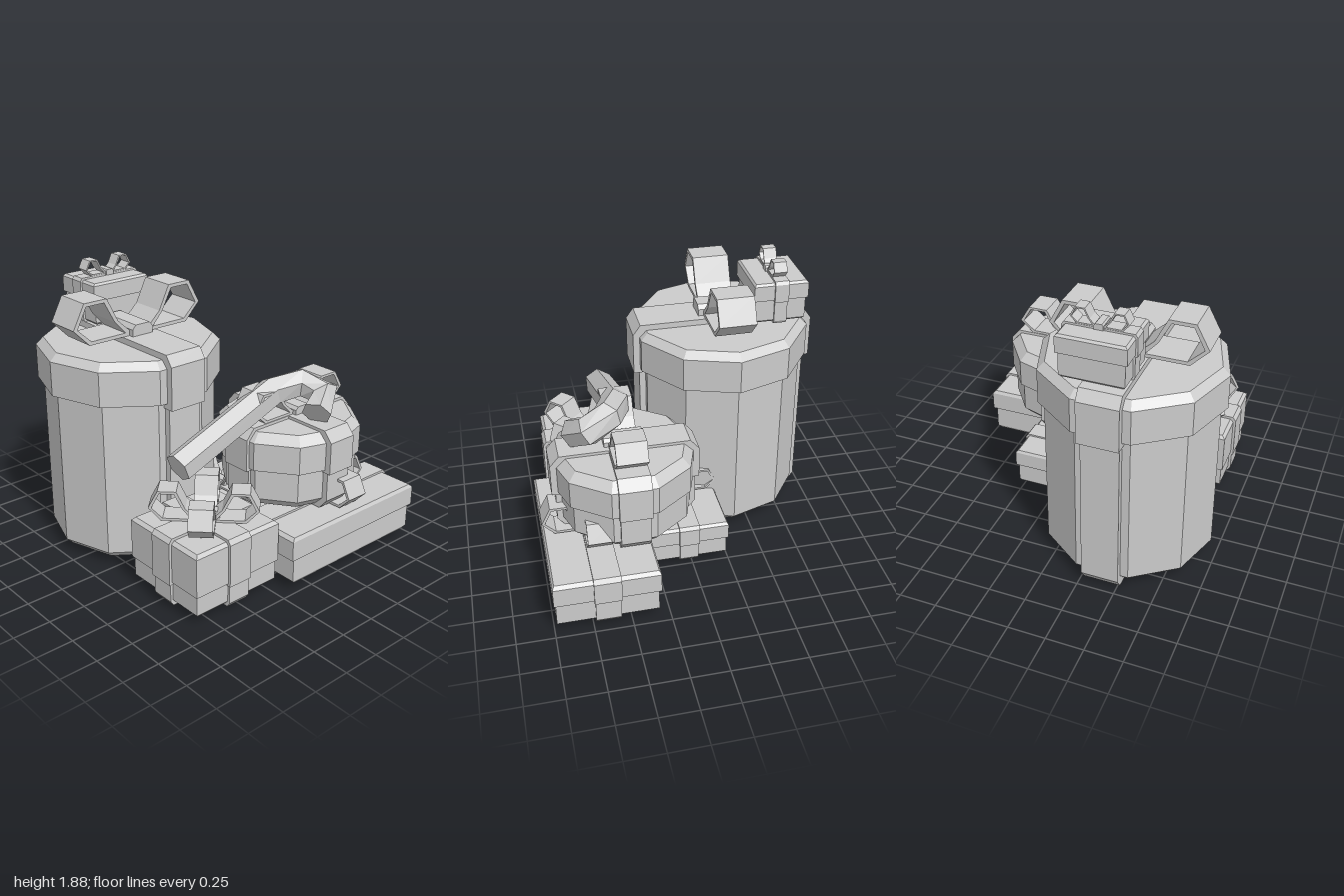
import * as THREE from 'three';

const grey = new THREE.MeshStandardMaterial({ color: 0xcccccc, flatShading: true });

function add(parent, name, geo) {
  const mesh = new THREE.Mesh(geo, grey);
  mesh.name = name;
  parent.add(mesh);
  return mesh;
}

const toVectors = (pts) => pts.map(([x, y]) => new THREE.Vector2(x, y));

// Flat outline extruded along z and centred on it
function slab(outline, width, hole) {
  const shape = new THREE.Shape(toVectors(outline));
  if (hole) shape.holes.push(new THREE.Path(toVectors(hole)));
  return new THREE.ExtrudeGeometry(shape, { depth: width, bevelEnabled: false }).translate(0, 0, -width / 2);
}

// Faceted solid from a half profile [radius, y]; four sides gives a box
function prism(profile, sides, phase, hx, hz) {
  const k = sides === 4 ? Math.SQRT2 : 1;
  return new THREE.LatheGeometry(toVectors(profile), sides, phase).scale(hx * k, 1, hz * k);
}

// Symmetric outline for a ribbon: half profile plus its mirror image
function mirrored(half) {
  return [...half, ...half.map(([x, y]) => [-x, y]).reverse()];
}

// Loops of ribbon fanned around a knot
const LOOP = [[0.08, 0], [0.77, 0], [1, 0.25], [0.83, 0.59], [0.49, 0.59], [0.33, 0.25]];
const LOOP_HOLE = [[0.22, 0.05], [0.74, 0.05], [0.94, 0.25], [0.8, 0.54], [0.53, 0.54], [0.38, 0.24]];
function bow({ reach, height, width, loops, turn = 0 }) {
  const group = new THREE.Group();
  group.name = 'bow';
  const fit = (pts) => pts.map(([x, y]) => [x * reach, y * height / 0.59]);
  for (let i = 0; i < loops; i++) {
    const loop = add(group, 'bowLoop', slab(fit(LOOP), width, fit(LOOP_HOLE)));
    loop.rotation.y = turn + i * 2 * Math.PI / loops;
  }
  const k = width * 0.32, h = height * 0.27;
  const knot = add(group, 'bowKnot',
    slab([[-k, -0.01], [k, -0.01], [k, h * 0.6], [k * 0.7, h], [-k * 0.7, h], [-k, h * 0.6]], width * 1.3));
  knot.rotation.y = turn;
  return group;
}

// Lidded present with ribbons along the listed axes and a bow on top
function gift(o) {
  const { y0, seam, top, bevel: b, lip, wrap } = o;
  const group = new THREE.Group();
  group.name = o.name;
  group.position.set(o.x, 0, o.z);
  const sides = o.sides ?? 4, phase = o.phase ?? Math.PI / 4;
  const f = b / o.hx, inner = 1 - lip / o.hx;
  add(group, 'giftBody', prism([[0, y0], [inner - f, y0], [inner, y0 + b], [inner, seam + 0.01]],
    sides, phase, o.hx, o.hz));
  add(group, 'giftLid', prism([[0, seam], [1, seam], [1, top - b], [1 - f, top], [0, top]],
    sides, phase, o.hx, o.hz));
  for (const [axis, half] of Object.entries(o.ribbons)) {
    const r = half + wrap, rb = r - lip;
    const lidBand = mirrored([[r, seam - wrap], [r, top - b + wrap / 2], [r - b, top + wrap]]);
    const bodyBand = mirrored([[rb - b, y0 - wrap], [rb, y0 + b - wrap / 2], [rb, seam]]);
    const turn = axis === 'z' ? Math.PI / 2 : 0;
    add(group, 'lidRibbon', slab(lidBand, o.band)).rotation.y = turn;
    add(group, 'bodyRibbon', slab(bodyBand, o.band * 0.92)).rotation.y = turn;
  }
  const knot = bow(o.bow);
  knot.position.y = top + wrap;
  group.add(knot);
  return group;
}

// Hexagonal bar swept along a bent path, closed at both ends
function bar(path, radius) {
  const pts = path.map((p) => new THREE.Vector3(...p));
  const n = 6, pos = [], index = [];
  let up = new THREE.Vector3(0, 1, 0);
  pts.forEach((p, i) => {
    const before = p.clone().sub(pts[Math.max(i - 1, 0)]).normalize();
    const after = pts[Math.min(i + 1, pts.length - 1)].clone().sub(p).normalize();
    const t = before.add(after).normalize();
    up = up.clone().addScaledVector(t, -up.dot(t)).normalize();
    const side = t.clone().cross(up);
    for (let j = 0; j < n; j++) {
      const a = j / n * 2 * Math.PI;
      const v = p.clone().addScaledVector(up, radius * Math.cos(a)).addScaledVector(side, radius * Math.sin(a));
      pos.push(v.x, v.y, v.z);
      if (i > 0) {
        const c = i * n + j, d = i * n + (j + 1) % n;
        index.push(c - n, d - n, c, d - n, d, c);
      }
    }
  });
  const last = (pts.length - 1) * n;
  for (let j = 1; j < n - 1; j++) index.push(0, j + 1, j, last, last + j, last + j + 1);
  const geo = new THREE.BufferGeometry();
  geo.setAttribute('position', new THREE.Float32BufferAttribute(pos, 3));
  geo.setIndex(index);
  geo.computeVertexNormals();
  return geo;
}

export function createModel() {
  const model = new THREE.Group();
  model.name = 'giftPile';

  model.add(gift({
    name: 'tallRoundGift', x: -0.39, z: -0.38, hx: 0.61, hz: 0.61, sides: 10, phase: Math.PI / 2,
    y0: 0.04, seam: 1.15, top: 1.43, bevel: 0.05, lip: 0.04, wrap: 0.04, band: 0.27,
    ribbons: { z: 0.585 }, bow: { reach: 0.505, height: 0.28, width: 0.25, loops: 2 },
  }));
  model.add(gift({
    name: 'smallTopGift', x: -0.315, z: -0.73, hx: 0.22, hz: 0.185,
    y0: 1.475, seam: 1.64, top: 1.76, bevel: 0.015, lip: 0.015, wrap: 0.013, band: 0.095,
    ribbons: { x: 0.22 }, bow: { reach: 0.18, height: 0.105, width: 0.09, loops: 2 },
  }));
  model.add(gift({
    name: 'lowRoundGift', x: 0.32, z: 0.43, hx: 0.478, hz: 0.478, sides: 10, phase: 0,
    y0: 0.43, seam: 0.7, top: 0.95, bevel: 0.06, lip: 0.025, wrap: 0.02, band: 0.21,
    ribbons: { x: 0.455, z: 0.465 }, bow: { reach: 0.4, height: 0.2, width: 0.2, loops: 2 },
  }));
  model.add(gift({
    name: 'squareGift', x: -0.525, z: 0.555, hx: 0.335, hz: 0.32,
    y0: 0.045, seam: 0.2, top: 0.485, bevel: 0.022, lip: 0.012, wrap: 0.018, band: 0.17,
    ribbons: { x: 0.335, z: 0.32 },
    bow: { reach: 0.345, height: 0.2, width: 0.15, loops: 4, turn: Math.PI / 4 },
  }));

  // Two long gifts of the same design, the rear one smaller
  const longGift = (name, x, z, y, s) => gift({
    name, x, z, hx: 0.58 * s, hz: 0.342 * s,
    y0: y, seam: y + 0.185 * s, top: y + 0.34 * s, bevel: 0.022 * s, lip: 0.022 * s, wrap: 0.015 * s,
    band: 0.175 * s, ribbons: { x: 0.58 * s },
    bow: { reach: 0.345 * s, height: 0.2 * s, width: 0.16 * s, loops: 4 },
  });
  model.add(longGift('frontLongGift', 0.4, 0.655, 0.055, 1));
  model.add(longGift('rearLongGift', 0.07, 0.03, 0.06, 0.79));

  // Hooked stick lying across the low round gift
  add(model, 'hookedStick', bar([
    [-0.645, 0.835, 0.445], [0.14, 1.135, 0.445], [0.33, 1.17, 0.52], [0.4, 1.12, 0.66], [0.265, 1.035, 0.73],
  ], 0.1));

  return model;
}
